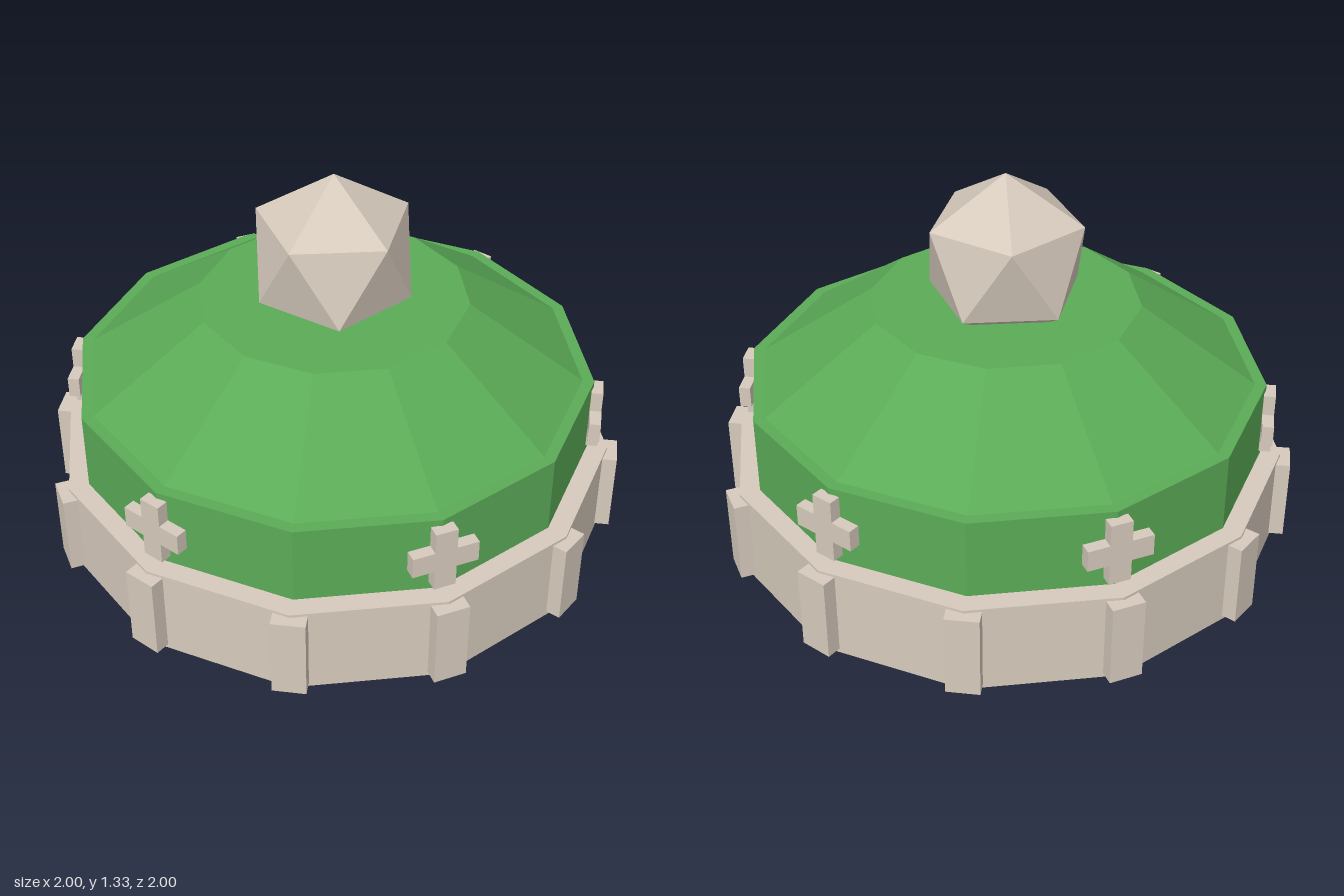
import * as THREE from 'three';

const SIDES = 12;

export function createModel() {
  const model = new THREE.Group();
  model.name = 'domedHat';
  const stone = new THREE.MeshStandardMaterial({ color: 0xd6cabc, flatShading: true });
  stone.name = 'pale stone';
  const green = new THREE.MeshStandardMaterial({ color: 0x5bab57, flatShading: true });
  green.name = 'leaf green';

  const add = (name, geometry, material) => {
    const mesh = new THREE.Mesh(geometry, material);
    mesh.name = name;
    model.add(mesh);
    return mesh;
  };

  // Twelve-sided tier between two heights
  const tier = (name, topRadius, bottomRadius, y0, y1, material) => {
    const geometry = new THREE.CylinderGeometry(topRadius, bottomRadius, y1 - y0, SIDES);
    add(name, geometry.translate(0, (y0 + y1) / 2, 0), material);
  };

  // Copies of a part spaced evenly around the vertical axis
  const ring = (name, geometry, count, material) => {
    for (let i = 0; i < count; i++) {
      add(name, geometry, material).rotation.y = (i / count) * Math.PI * 2;
    }
  };

  tier('baseBand', 0.965, 0.965, 0, 0.32, stone);
  tier('drum', 0.895, 0.895, 0.32, 0.6, green);
  tier('slopedRoof', 0.46, 0.855, 0.6, 0.875, green);

  // Ribs over the corners of the base band
  const rib = new THREE.BoxGeometry(0.112, 0.295, 0.06).translate(0, 0.163, 0.97);
  ring('rib', rib, SIDES, stone);

  // Raised crosses on every second corner of the drum
  const a = 0.0375, b = 0.1125;
  const outline = new THREE.Shape([
    [-a, -b], [a, -b], [a, -a], [b, -a], [b, a], [a, a],
    [a, b], [-a, b], [-a, a], [-b, a], [-b, -a], [-a, -a],
  ].map(([x, y]) => new THREE.Vector2(x, y)));
  const cross = new THREE.ExtrudeGeometry(outline, { depth: 0.04, bevelEnabled: false });
  ring('cross', cross.translate(0, 0.465, 0.888), 6, stone);

  // Faceted finial, turned to stand on a corner
  const finial = new THREE.IcosahedronGeometry(0.297, 0);
  finial.rotateZ(-Math.atan(2 / (1 + Math.sqrt(5)))).translate(0, 1.037, 0);
  add('finial', finial, stone);

  return model;
}
